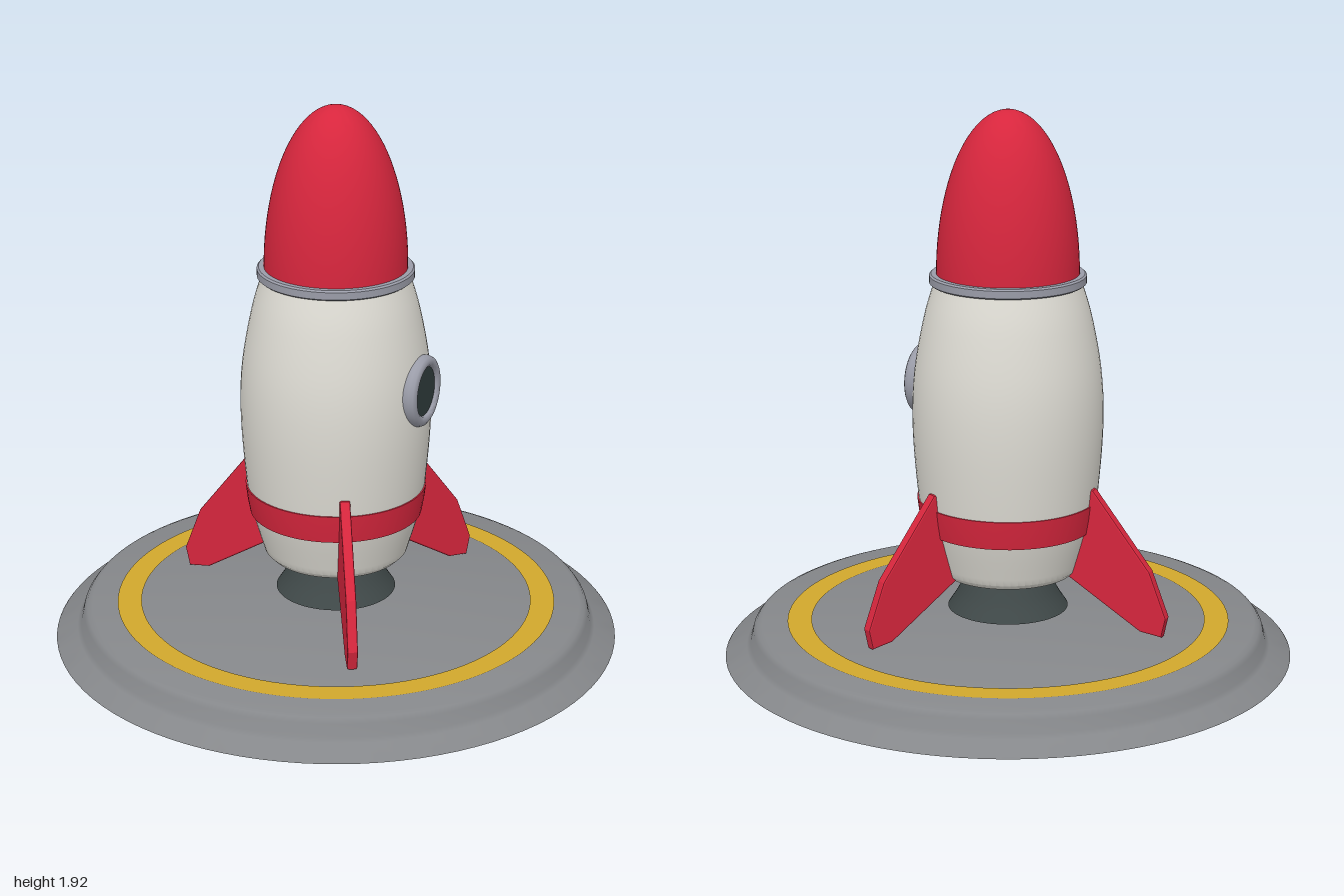
import * as THREE from 'three';
import { toCreasedNormals } from 'three/addons/utils/BufferGeometryUtils.js';

const material = (name, color, side = THREE.FrontSide) => {
  const m = new THREE.MeshStandardMaterial({ color, side });
  m.name = name;
  return m;
};

// Turned solid from [radius, height] pairs listed bottom to top, outside face outward
const turned = (pairs, segments = 64, crease = 0.5) =>
  toCreasedNormals(
    new THREE.LatheGeometry(pairs.map(([r, y]) => new THREE.Vector2(r, y)), segments), crease);

// Smooth curve through [radius, height] pairs
const smooth = (pairs, count = 28) =>
  new THREE.SplineCurve(pairs.map(([r, y]) => new THREE.Vector2(r, y)))
    .getPoints(count).map((p) => [Math.max(p.x, 0), p.y]);

export function createModel() {
  const red = material('red paint', 0xd7263d);
  const white = material('hull white', 0xdedcd4);
  const metal = material('trim metal', 0x9a9ca8);
  const concrete = material('pad grey', 0x85878a);
  const yellow = material('pad yellow', 0xd1a72c, THREE.DoubleSide);
  const dark = material('dark metal', 0x3f4848, THREE.DoubleSide);
  const glass = material('window glass', 0x303c3c);

  const model = new THREE.Group();
  model.name = 'rocketOnPad';
  const add = (name, geometry, mat, parent = model) => {
    const mesh = new THREE.Mesh(geometry, mat);
    mesh.name = name;
    parent.add(mesh);
    return mesh;
  };

  // Launch pad with sloping skirt
  add('launchPad', turned([
    [0, 0], [1, 0], [0.995, 0.006], [0.925, 0.034], [0.912, 0.048],
    [0.9, 0.09], [0.888, 0.106], [0.87, 0.113], [0, 0.113],
  ], 96, 0.6), concrete);

  // Painted target ring
  const ring = add('padRing', new THREE.RingGeometry(0.695, 0.78, 96), yellow);
  ring.rotation.x = -Math.PI / 2;
  ring.position.y = 0.116;

  // Hull, closed underneath
  add('hull', turned([
    [0, 0.285], [0.2, 0.285], [0.235, 0.292],
    ...smooth([[0.253, 0.31], [0.296, 0.46], [0.313, 0.56], [0.331, 0.8],
      [0.325, 1.0], [0.29, 1.2], [0.25, 1.335]]),
    [0, 1.335],
  ]), white);

  // Red belt
  add('belt', turned([
    [0.28, 0.458], [0.303, 0.458], [0.312, 0.51], [0.318, 0.56], [0.28, 0.56],
  ]), red);

  // Collar under the nose
  add('collar', turned([
    [0.23, 1.32], [0.264, 1.32], [0.27, 1.325], [0.27, 1.35],
    [0.264, 1.356], [0.23, 1.356],
  ]), metal);

  // Nose cone, half an ellipse
  const nose = [];
  for (let i = 0; i <= 24; i++) {
    const a = (i / 24) * Math.PI / 2;
    nose.push([i === 24 ? 0 : 0.246 * Math.cos(a), 1.35 + 0.567 * Math.sin(a)]);
  }
  add('noseCone', turned(nose), red);

  // Flared engine bell
  add('engineBell', turned(smooth([
    [0.212, 0.155], [0.18, 0.205], [0.155, 0.255], [0.135, 0.3],
  ], 10)), dark);

  // Three swept fins, evenly spaced
  const outline = [[0.2, 0.32], [0.505, 0.132], [0.582, 0.122], [0.597, 0.19],
    [0.535, 0.35], [0.325, 0.618], [0.29, 0.62], [0.22, 0.45]];
  const finGeometry = new THREE.ExtrudeGeometry(
    new THREE.Shape(outline.map(([x, y]) => new THREE.Vector2(x, y))),
    { depth: 0.024, bevelThickness: 0.006, bevelSize: 0.006, bevelOffset: -0.004, bevelSegments: 2 });
  finGeometry.translate(0, 0, -0.012);
  [12, 132, 252].forEach((degrees, i) => {
    add(`fin${i + 1}`, finGeometry, red).rotation.y = THREE.MathUtils.degToRad(degrees);
  });

  // Round porthole: frame and glass turned about the outward axis
  const porthole = new THREE.Group();
  porthole.name = 'porthole';
  porthole.position.y = 0.95;
  porthole.rotation.y = THREE.MathUtils.degToRad(42);
  model.add(porthole);
  const frame = turned([
    [0.118, 0.285], [0.124, 0.295], [0.125, 0.325], [0.12, 0.339], [0.11, 0.346],
    [0.096, 0.346], [0.088, 0.341], [0.084, 0.325],
  ], 48, 0.8);
  add('portholeFrame', frame.rotateX(Math.PI / 2), metal, porthole);
  const pane = new THREE.CylinderGeometry(0.087, 0.087, 0.04, 48);
  add('portholeGlass', pane.rotateX(Math.PI / 2), glass, porthole).position.z = 0.314;

  return model;
}
